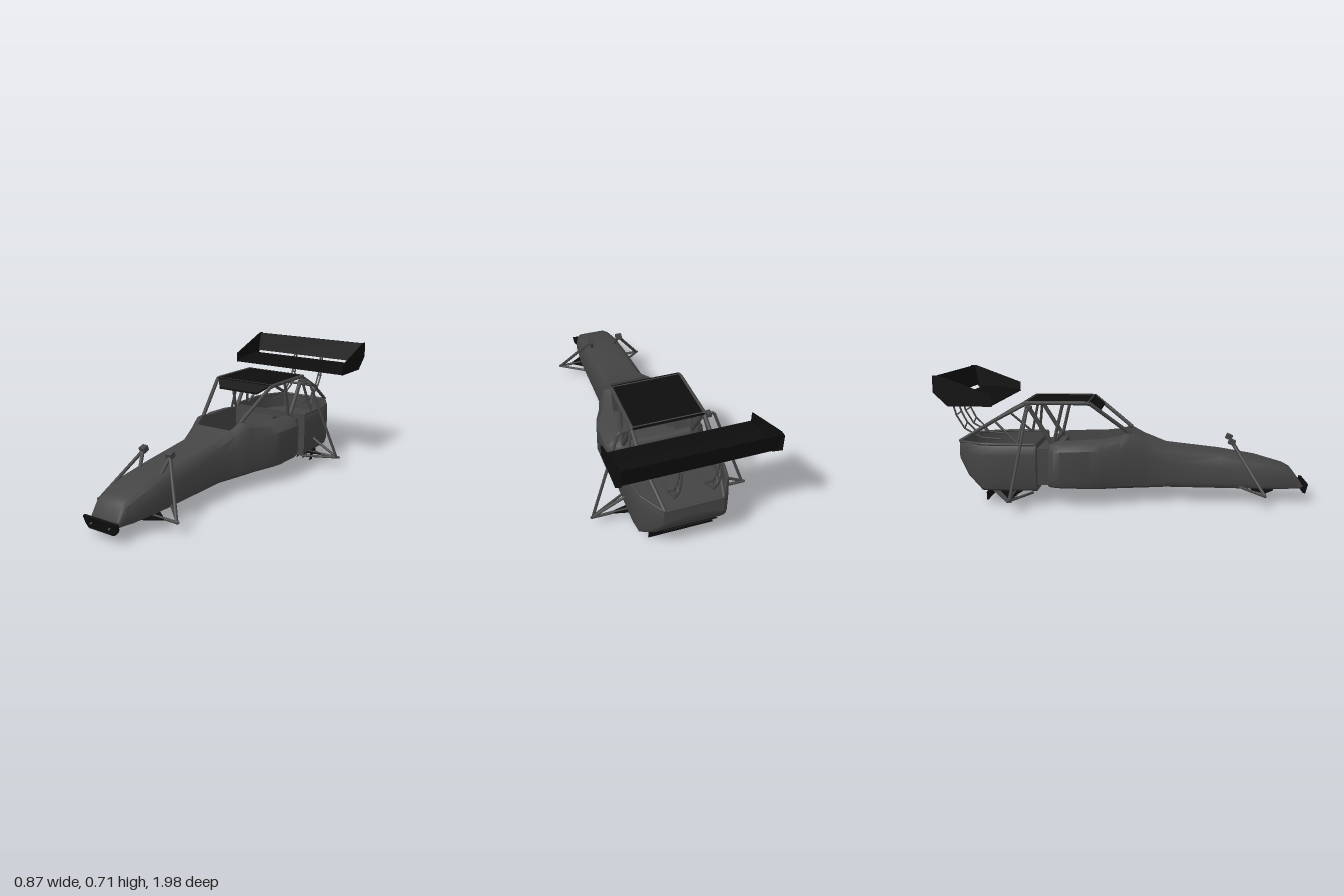
import * as THREE from 'three';
import { toCreasedNormals } from 'three/addons/utils/BufferGeometryUtils.js';

const grey = new THREE.MeshStandardMaterial({ color: 0x444444, side: THREE.DoubleSide });
const black = new THREE.MeshStandardMaterial({ color: 0x0d0d0d, side: THREE.DoubleSide });
const V = (p) => new THREE.Vector3(...p);

function add(parent, name, geo, mat = grey) {
  const mesh = new THREE.Mesh(geo, mat);
  mesh.name = name;
  parent.add(mesh);
  return mesh;
}

function box(parent, name, size, pos, mat = grey, rx = 0) {
  const mesh = add(parent, name, new THREE.BoxGeometry(...size), mat);
  mesh.position.set(...pos);
  mesh.rotation.x = rx;
  return mesh;
}

// Straight pipes joined by balls through a list of points
function pipe(parent, name, points, r = 0.01) {
  const group = new THREE.Group();
  group.name = name;
  points.forEach((p, i) => {
    add(group, name, new THREE.SphereGeometry(r, 10, 6)).position.set(...p);
    if (!i) return;
    const a = V(points[i - 1]), d = V(p).sub(a);
    const rod = add(group, name, new THREE.CylinderGeometry(r, r, d.length(), 10));
    rod.position.copy(a).addScaledVector(d, 0.5);
    rod.quaternion.setFromUnitVectors(new THREE.Vector3(0, 1, 0), d.normalize());
  });
  parent.add(group);
}

// Flat plate drawn in (z, y), extruded along x
function sidePlate(parent, name, pts, x, width) {
  const shape = new THREE.Shape(pts.map(([z, y]) => new THREE.Vector2(-z, y)));
  const geo = new THREE.ExtrudeGeometry(shape, { depth: width, bevelEnabled: false });
  geo.rotateY(Math.PI / 2).translate(x - width / 2, 0, 0);
  return add(parent, name, geo, black);
}

// Hull skinned over sections: side width w, rim width wt, bottom yb, rim height yt, inner floor height
function hull(parent, name, sections) {
  const pos = [], idx = [], n = 16;
  for (const { z, w, wt, yb, yt, floor } of sections) {
    const wb = w * (1 - 0.65 * w), ys = yb + (yt - yb) * (0.4 + 1.5 * w);
    const half = [
      [0, yb], [wb, yb], [wb + (w - wb) * 0.75, yb + (ys - yb) * 0.07],
      [w, yb + (ys - yb) * 0.25], [w, ys],
      [w + (wt - w) * 0.35, ys + (yt - ys) * 0.72],
      [wt, yt], [wt * 0.97, floor], [0, floor],
    ];
    const ring = [...half, ...half.slice(1, 8).reverse().map(([x, y]) => [-x, y])];
    ring.forEach(([x, y]) => pos.push(x, y, z));
  }
  const last = (sections.length - 1) * n, c0 = sections.length * n;
  for (const s of [sections[0], sections.at(-1)]) pos.push(0, (s.yb + s.yt) / 2, s.z);
  for (let j = 0; j < n; j++) {
    const k = (j + 1) % n;
    for (let a = 0; a < last; a += n) idx.push(a + j, a + n + j, a + n + k, a + j, a + n + k, a + k);
    idx.push(c0, j, k, c0 + 1, last + k, last + j);
  }
  const geo = new THREE.BufferGeometry();
  geo.setAttribute('position', new THREE.Float32BufferAttribute(pos, 3));
  geo.setIndex(idx);
  add(parent, name, toCreasedNormals(geo, 0.7));
}

// Horizontal pointed gusset
function gusset(parent, name, w, z, d) {
  const s = new THREE.Shape([[-w, 0], [-w * 0.55, -d], [w * 0.55, -d], [w, 0], [w * 0.55, d], [-w * 0.55, d]]
    .map((p) => new THREE.Vector2(...p)));
  const geo = new THREE.ExtrudeGeometry(s, { depth: 0.008, bevelEnabled: false });
  geo.rotateX(-Math.PI / 2).translate(0, 0.062, z);
  add(parent, name, geo, black);
}

export function createModel() {
  const car = new THREE.Group();
  car.name = 'raceCarBody';

  // Nose, cockpit with open well, and side pods: z, side width, rim width, rim height
  hull(car, 'mainBody', [
    [0.945, 0.09, 0.08, 0.1], [0.9, 0.1, 0.075, 0.165], [0.86, 0.113, 0.075, 0.188],
    [0.7, 0.13, 0.075, 0.235], [0.5, 0.132, 0.08, 0.268], [0.2, 0.136, 0.09, 0.3],
    [0.08, 0.175, 0.11, 0.345], [0.075, 0.177, 0.112, 0.347], [0, 0.2, 0.13, 0.385],
    [-0.05, 0.215, 0.142, 0.366], [-0.15, 0.26, 0.165, 0.352], [-0.21, 0.274, 0.175, 0.35],
    [-0.37, 0.274, 0.185, 0.343], [-0.4, 0.265, 0.185, 0.341], [-0.405, 0.263, 0.185, 0.34],
    [-0.43, 0.24, 0.18, 0.335], [-0.442, 0.22, 0.17, 0.32],
  ].map(([z, w, wt, yt]) => ({
    z, w, wt, yt, yb: 0.07 + (0.95 - z) * 0.0145, floor: z < 0.078 && z > -0.402 ? 0.14 : yt,
  })));
  box(car, 'seatCushion', [0.22, 0.05, 0.2], [0, 0.155, -0.26]);
  box(car, 'seatBack', [0.22, 0.19, 0.04], [0, 0.23, -0.37], grey, -0.15);
  box(car, 'bodyNeck', [0.4, 0.2, 0.09], [0, 0.2, -0.465]);

  // Open engine bay with a swept-up tail: z, side width, bottom height
  hull(car, 'engineBay', [
    [-0.5, 0.25, 0.07], [-0.515, 0.25, 0.07], [-0.72, 0.25, 0.07], [-0.8, 0.24, 0.07],
    [-0.88, 0.2, 0.145], [-0.92, 0.165, 0.21], [-0.925, 0.162, 0.218], [-0.935, 0.155, 0.235],
  ].map(([z, w, yb]) => ({
    z, w, yb, wt: w * 0.94, yt: 0.33, floor: z < -0.51 && z > -0.922 ? 0.24 : 0.33,
  })));
  const rim = [[0.24, -0.51], [0.24, -0.72], [0.225, -0.8], [0.15, -0.93]];

  // Roof and drooping visor
  box(car, 'roofPanel', [0.38, 0.01, 0.36], [0, 0.552, -0.39], black);
  const visor = new THREE.BoxGeometry(0.36, 0.01, 0.07);
  const vp = visor.attributes.position;
  for (let i = 0; i < vp.count; i++) {
    const front = vp.getZ(i) > 0;
    vp.setXYZ(i, vp.getX(i) * (front ? 0.72 : 1), vp.getY(i) + (front ? 0.51 : 0.55), front ? -0.155 : -0.215);
  }
  visor.computeVertexNormals();
  add(car, 'roofVisor', visor, black);

  // Rear diffuser and its strakes
  box(car, 'diffuserPlate', [0.35, 0.045, 0.008], [0, 0.03, -0.785], black);
  box(car, 'diffuserRamp', [0.28, 0.006, 0.16], [0, 0.11, -0.845], black, 0.76);
  for (let i = 0; i < 9; i++) {
    const x = -0.16 + i * 0.04;
    sidePlate(car, 'diffuserStrake', [[-0.64, 0.005], [-0.665, 0.005], [-0.74, 0.07], [-0.7, 0.07]], x, 0.004);
  }
  box(car, 'diffuserSlat', [0.35, 0.006, 0.04], [0, 0.027, -0.675], black, 0.75);

  // Rear wing: main plane, steep flap, end plates
  const wing = new THREE.Group();
  wing.name = 'rearWing';
  car.add(wing);
  sidePlate(wing, 'wingMainPlane', [[-0.7, 0.555], [-0.7, 0.563], [-0.8, 0.582], [-0.92, 0.588], [-0.92, 0.58], [-0.8, 0.56]], 0, 0.76);
  sidePlate(wing, 'wingFlap', [[-0.953, 0.596], [-0.962, 0.596], [-0.988, 0.71], [-0.978, 0.71]], 0, 0.76);

  // Suspension gussets
  gusset(car, 'frontGusset', 0.19, 0.73, 0.06);
  gusset(car, 'rearGusset', 0.34, -0.62, 0.035);

  // Everything mirrored left and right
  for (const s of [-1, 1]) {
    const p = (name, pts, r) => pipe(car, name, pts.map(([x, y, z]) => [x * s, y, z]), r);
    sidePlate(wing, 'wingEndPlate', [[-0.697, 0.553], [-0.697, 0.61], [-0.97, 0.713], [-1, 0.713], [-1, 0.625], [-0.925, 0.553]], 0.382 * s, 0.006);
    p('engineBayRim', rim.map(([x, z]) => [x, 0.33, z]), 0.008);

    // Wing supports: twin curved rails with rungs
    const outer = [[-0.72, 0.335], [-0.83, 0.345], [-0.92, 0.395], [-0.965, 0.47], [-0.984, 0.54], [-0.98, 0.61]];
    const inner = [[-0.86, 0.385], [-0.905, 0.43], [-0.935, 0.49], [-0.952, 0.545], [-0.955, 0.6]];
    const at = ([z, y]) => [0.097, y, z];
    p('wingSupport', outer.map(at), 0.005);
    p('wingSupport', [outer[1], ...inner].map(at), 0.005);
    for (let i = 0; i < 4; i++) p('wingSupportRung', [at(outer[i + 1]), at(inner[i])], 0.004);

    // Roll cage
    p('roofPillar', [[0.13, 0.38, 0], [0.185, 0.545, -0.21], [0.19, 0.55, -0.24], [0.19, 0.55, -0.56]], 0.011);
    p('cageBrace', [[0.19, 0.54, -0.36], [0.19, 0.33, -0.41]], 0.009);
    p('cageHoop', [[0.19, 0.54, -0.55], [0.19, 0.33, -0.42]], 0.012);
    p('cageBackStay', [[0.19, 0.55, -0.55], [0.19, 0.465, -0.71], [0.15, 0.335, -0.93]], 0.01);
    p('cageDiagonal', [[0.22, 0.33, -0.6], [0.188, 0.45, -0.73]], 0.007);
    p('cageLowerStay', [[0.19, 0.54, -0.55], [0.235, 0.33, -0.6]], 0.008);

    // Rear suspension
    p('rearStrut', [[0.18, 0.522, -0.54], [0.245, 0.522, -0.54], [0.256, 0.512, -0.542], [0.413, 0.07, -0.61]], 0.008);
    p('rearLowerArm', [[0.2, 0.065, -0.62], [0.425, 0.065, -0.62]], 0.008);
    p('rearTrailingArm', [[0.24, 0.068, -0.52], [0.41, 0.065, -0.61]], 0.007);
    p('rearUpperArm', [[0.24, 0.16, -0.62], [0.41, 0.068, -0.615]], 0.008);
    box(car, 'rearStrutMount', [0.05, 0.025, 0.03], [0.21 * s, 0.522, -0.54]);
    const fin = sidePlate(car, 'diffuserFin', [[-0.64, 0], [-0.67, 0], [-0.75, 0.07], [-0.71, 0.07]], 0, 0.004);
    fin.position.set(0.213 * s, 0, 0);
    fin.rotation.z = 0.38 * s;

    // Front suspension
    p('frontStrut', [[0.09, 0.32, 0.565], [0.258, 0.067, 0.725]], 0.009);
    p('frontStrutTower', [[0.09, 0.32, 0.565], [0.07, 0.24, 0.615]], 0.01);
    box(car, 'frontStrutMount', [0.034, 0.03, 0.035], [0.088 * s, 0.328, 0.56], grey, 0.4);
    p('frontLowerArm', [[0.1, 0.067, 0.725], [0.265, 0.067, 0.725]], 0.008);
    p('frontTrailingArm', [[0.12, 0.085, 0.6], [0.258, 0.067, 0.72]], 0.007);
    p('bumperMount', [[0.06, 0.085, 0.93], [0.06, 0.07, 0.98]], 0.005);
  }
  pipe(car, 'engineBayRim', [[-0.15, 0.33, -0.93], [0.15, 0.33, -0.93]], 0.008);
  pipe(car, 'cageCrossBar', [[-0.19, 0.465, -0.71], [0.19, 0.465, -0.71]], 0.008);
  for (const z of [-0.22, -0.56]) pipe(car, 'roofCrossBar', [[-0.19, 0.548, z], [0.19, 0.548, z]], 0.01);

  // Rounded front bumper, swept back at the ends
  const bs = new THREE.Shape();
  bs.moveTo(-0.075, -0.03).lineTo(0.075, -0.03);
  bs.quadraticCurveTo(0.11, -0.03, 0.11, 0.03).lineTo(-0.11, 0.03);
  bs.quadraticCurveTo(-0.11, -0.03, -0.075, -0.03);
  const bg = new THREE.ExtrudeGeometry(bs, { depth: 0.014, bevelEnabled: false });
  const bp = bg.attributes.position;
  for (let i = 0; i < bp.count; i++) bp.setZ(i, bp.getZ(i) - 1.6 * bp.getX(i) ** 2);
  bg.computeVertexNormals();
  const bumper = add(car, 'frontBumper', bg, black);
  bumper.position.set(0, 0.069, 0.976);
  bumper.rotation.x = 0.3;

  return car;
}
